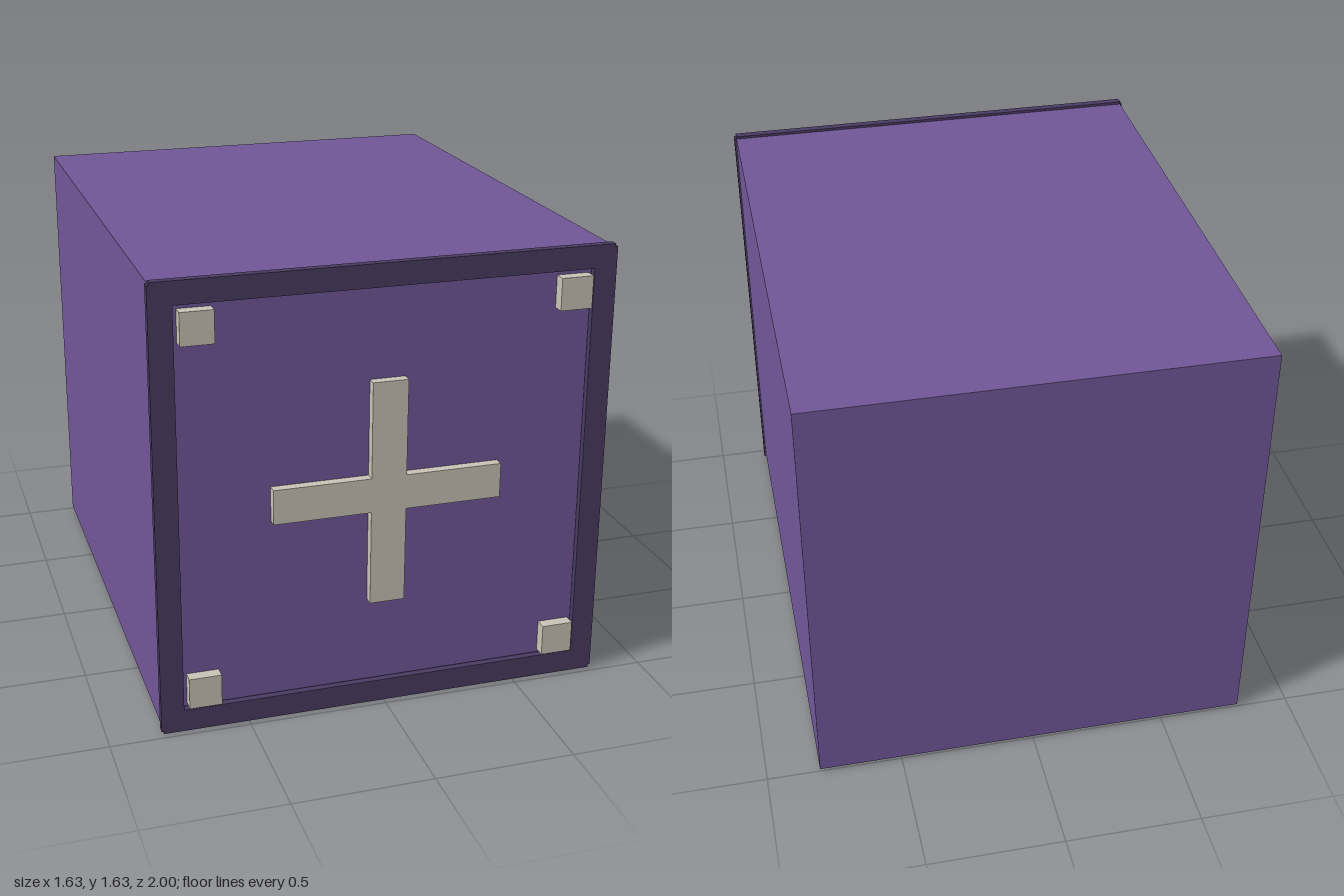
import * as THREE from 'three';

export function createModel() {
  const model = new THREE.Group();
  const material = (name, color) => {
    const m = new THREE.MeshStandardMaterial({ color });
    m.name = name;
    return m;
  };
  const purple = material('purple', 0x705798);
  const darkPurple = material('dark purple', 0x4a3b61);
  const cream = material('cream', 0xc9c4b6);
  const MID = 0.815; // height of the centre

  // Box given by its size, its centre and its z range
  const addBox = (name, mat, w, h, x, y, z0, z1) => {
    const mesh = new THREE.Mesh(new THREE.BoxGeometry(w, h, z1 - z0), mat);
    mesh.position.set(x, y, (z0 + z1) / 2);
    mesh.name = name;
    model.add(mesh);
  };

  // Crate body and the panel set inside the frame
  addBox('body', purple, 1.61, 1.61, 0, MID, -1, 0.95);
  addBox('frontPanel', purple, 1.456, 1.456, 0, MID, 0.95, 0.957);

  // Frame: four strips slightly proud of the body, leaving notched corners
  for (const s of [-1, 1]) {
    addBox(s > 0 ? 'frameTop' : 'frameBottom', darkPurple, 1.61, 0.082, 0, MID + s * 0.774, 0.945, 0.975);
    addBox(s > 0 ? 'frameLeft' : 'frameRight', darkPurple, 0.082, 1.61, s * 0.772, MID, 0.945, 0.975);
  }

  // Raised cross, one outline extruded
  const a = 0.41, b = 0.063;
  const outline = [[b, b], [b, a], [-b, a], [-b, b], [-a, b], [-a, -b],
    [-b, -b], [-b, -a], [b, -a], [b, -b], [a, -b], [a, b]];
  const shape = new THREE.Shape(outline.map(([x, y]) => new THREE.Vector2(x, y)));
  const cross = new THREE.Mesh(
    new THREE.ExtrudeGeometry(shape, { depth: 0.035, bevelEnabled: false }), cream);
  cross.position.set(0, MID, 0.957);
  cross.name = 'cross';
  model.add(cross);

  // Corner studs
  for (const sx of [-1, 1]) for (const sy of [-1, 1]) {
    addBox('cornerStud', cream, 0.115, 0.115, sx * 0.659, MID + sy * 0.659, 0.957, 1);
  }
  return model;
}
